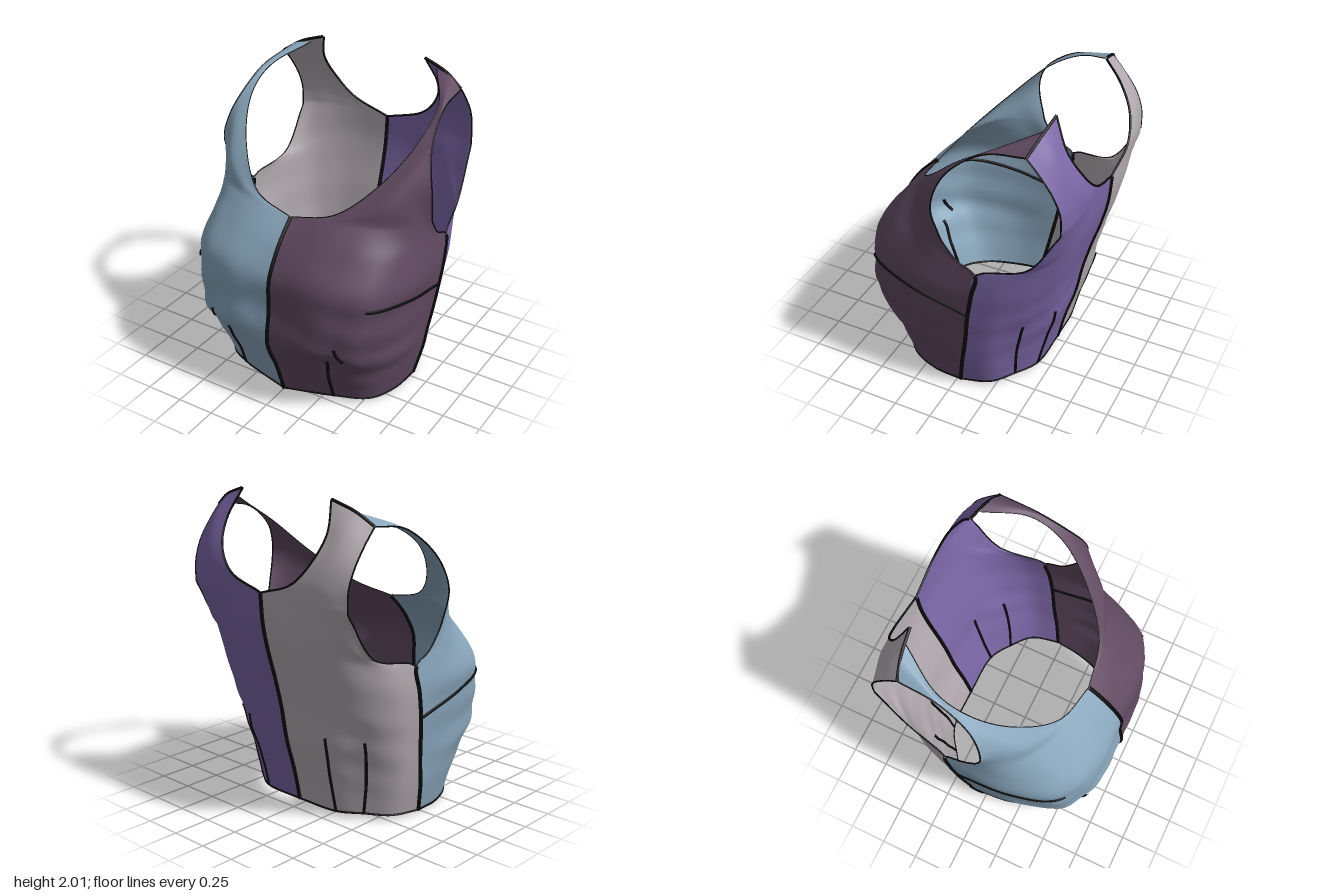
import * as THREE from 'three';

const V = (p) => new THREE.Vector3(p[0], p[1], p[2]);

// Cross rows run from centre line (or neckline) to side seam (or armhole), hem first
const frontBody = [
  [[0, .01, .55], [.34, .05, .49], [.53, .02, .36], [.61, .01, .17], [.635, .02, -.03]],
  [[0, .25, .63], [.34, .25, .56], [.55, .24, .45], [.655, .24, .22], [.68, .24, -.07]],
  [[0, .38, .69], [.36, .4, .62], [.57, .38, .52], [.68, .36, .25], [.69, .35, -.09]],
  [[0, .48, .72], [.34, .51, .7], [.58, .5, .57], [.69, .48, .28], [.705, .46, -.11]],
  [[0, .7, .69], [.35, .72, .69], [.61, .74, .56], [.72, .72, .25], [.73, .67, -.14]],
  [[0, .9, .68], [.36, .92, .67], [.62, .9, .54], [.75, .88, .2], [.742, .86, -.175]],
  [[0, 1.06, .59], [.32, 1.08, .56], [.59, 1.08, .43], [.725, 1.05, .16], [.735, 1.02, -.2]],
  [[0, 1.14, .52], [.3, 1.17, .485], [.55, 1.17, .37], [.71, 1.14, .16], [.735, 1.09, -.08]],
  [[0, 1.22, .435], [.28, 1.25, .41], [.52, 1.25, .32], [.69, 1.24, .17], [.74, 1.21, .015]],
];
const frontStrap = [
  [[.28, 1.29, .375], [.56, 1.36, .27], [.757, 1.43, .07]],
  [[.5, 1.49, .18], [.63, 1.54, .12], [.73, 1.57, .045]],
  [[.615, 1.71, -.05], [.665, 1.7, -.04], [.695, 1.69, -.03]],
  [[.61, 1.84, -.26], [.64, 1.84, -.24], [.66, 1.83, -.23]],
  [[.46, 1.95, -.515], [.56, 1.935, -.5], [.65, 1.87, -.48]],
];
const backBody = [
  [[0, .04, -.44], [.3, .04, -.425], [.45, .04, -.335], [.58, .03, -.22], [.635, .02, -.03]],
  [[0, .25, -.485], [.3, .25, -.475], [.485, .25, -.36], [.625, .25, -.24], [.68, .24, -.07]],
  [[0, .48, -.55], [.32, .48, -.54], [.52, .48, -.41], [.655, .47, -.28], [.705, .46, -.11]],
  [[0, .7, -.59], [.32, .7, -.58], [.54, .69, -.48], [.68, .68, -.32], [.73, .67, -.14]],
  [[0, .9, -.64], [.32, .9, -.63], [.54, .89, -.55], [.69, .87, -.37], [.742, .86, -.175]],
  [[0, 1.07, -.69], [.31, 1.07, -.68], [.53, 1.06, -.61], [.68, 1.02, -.42], [.735, 1.02, -.2]],
  [[0, 1.25, -.73], [.27, 1.25, -.725], [.48, 1.22, -.68], [.6, 1.16, -.61], [.67, 1.11, -.5]],
  [[0, 1.44, -.745], [.25, 1.44, -.745], [.43, 1.43, -.735], [.56, 1.42, -.72], [.645, 1.41, -.695]],
];
const backStrap = [
  [[.26, 1.53, -.745], [.45, 1.54, -.735], [.645, 1.54, -.69]],
  [[.38, 1.67, -.7], [.52, 1.67, -.69], [.65, 1.66, -.645]],
  [[.42, 1.82, -.62], [.54, 1.82, -.61], [.65, 1.78, -.56]],
  [[.37, 2, -.53], [.53, 1.945, -.51], [.65, 1.87, -.48]],
];

// Returns point(u, r): u across the panel 0..1, r the row number, with soft cloth wrinkles
function makeSurface(body, strap, side, wrinkle) {
  const curves = [...body, ...strap].map((row) => new THREE.CatmullRomCurve3(row.map(V)));
  const split = body.length - 1, last = curves.length - 1;
  const point = (u, r) => {
    const pts = curves.map((c) => c.getPoint(u));
    const p = r <= split
      ? new THREE.CatmullRomCurve3(pts.slice(0, split + 1)).getPoint(r / split)
      : new THREE.CatmullRomCurve3(pts.slice(split)).getPoint((r - split) / (last - split));
    const fade = Math.sin(Math.PI * u) * Math.min(1, r, (last - r) / 3);
    const low = Math.exp(-(((p.y - .5) / .3) ** 2));
    const w = Math.sin(p.x * 19 + p.y * 9 + side) * Math.sin(p.y * 17 - p.x * 11);
    const d = wrinkle * fade * w * (.3 + low);
    const out = Math.hypot(p.x, p.z) || 1;
    p.x = side * (p.x + d * p.x / out);
    p.z += d * p.z / out;
    return p;
  };
  return { point, split, last };
}

// Cloth panel as a grid over the surface
function panel(name, s, material, flip) {
  const nu = 24, nr = s.last * 5, pos = [], idx = [];
  for (let j = 0; j <= nr; j++)
    for (let i = 0; i <= nu; i++) pos.push(...s.point(i / nu, (j / nr) * s.last).toArray());
  for (let j = 0; j < nr; j++)
    for (let i = 0; i < nu; i++) {
      const a = j * (nu + 1) + i, b = a + 1, c = a + nu + 1, d = c + 1;
      if (flip) idx.push(a, c, b, b, c, d);
      else idx.push(a, b, c, b, d, c);
    }
  const g = new THREE.BufferGeometry();
  g.setAttribute('position', new THREE.Float32BufferAttribute(pos, 3));
  g.setIndex(idx);
  g.computeVertexNormals();
  const mesh = new THREE.Mesh(g, material);
  mesh.name = name;
  return mesh;
}

// Stitched line following the surface between two (u, row) positions
function seam(name, s, from, to, radius, material) {
  const n = 24, pts = [];
  for (let i = 0; i <= n; i++) {
    const t = i / n;
    pts.push(s.point(from[0] + (to[0] - from[0]) * t, from[1] + (to[1] - from[1]) * t));
  }
  const tube = new THREE.TubeGeometry(new THREE.CatmullRomCurve3(pts), 48, radius, 6);
  const mesh = new THREE.Mesh(tube, material);
  mesh.name = name;
  return mesh;
}

export function createModel() {
  const cloth = (name, color) =>
    new THREE.MeshStandardMaterial({ name, color, side: THREE.DoubleSide });
  const blue = cloth('dustyBlue', 0x88a5bb), plum = cloth('plum', 0x614a61);
  const grey = cloth('warmGrey', 0xb3abb1), purple = cloth('violet', 0x7a66a6);
  const black = new THREE.MeshStandardMaterial({ name: 'seamBlack', color: 0x0a0a0a });
  const model = new THREE.Group();
  model.name = 'bodice';

  for (const side of [1, -1]) {
    const label = side > 0 ? 'left' : 'right';
    const front = makeSurface(frontBody, frontStrap, side, .012);
    const back = makeSurface(backBody, backStrap, side, .006);
    model.add(panel(label + 'FrontPanel', front, side > 0 ? plum : blue, side < 0));
    model.add(panel(label + 'BackPanel', back, side > 0 ? purple : grey, side > 0));

    const line = (name, s, from, to, r) => model.add(seam(label + name, s, from, to, r, black));
    // Construction seams
    line('SideSeam', front, [1, 0], [1, 6], .014);
    line('ShoulderSeam', back, [0, back.last], [1, back.last], .01);
    if (side > 0) {
      line('CentreFrontSeam', front, [0, 0], [0, front.split], .014);
      line('CentreBackSeam', back, [0, 0], [0, back.split], .014);
    }
    // Hem, armhole and neckline edges
    line('FrontHem', front, [0, 0], [1, 0], .008);
    line('BackHem', back, [0, 0], [1, 0], .008);
    line('FrontArmholeEdge', front, [1, 6], [1, front.last], .005);
    line('BackArmholeEdge', back, [1, 5], [1, back.last], .005);
    line('FrontNeckEdge', front, [0, front.split], [0, front.last], .003);
    line('BackNeckEdge', back, [0, back.split], [0, back.last], .007);
    // Darts
    line('WaistDart', front, [.25, 0], [.26, 2.2], .012);
    line('WaistDartTip', front, [.35, 3.2], [.38, 2.5], .012);
    line('BustDart', front, [1, 4.05], [.48, 4.5], .012);
    line('InnerBackDart', back, [.25, 0], [.26, 2.4], .01);
    line('OuterBackDart', back, [.5, 0], [.51, 2.35], .01);
  }
  return model;
}
